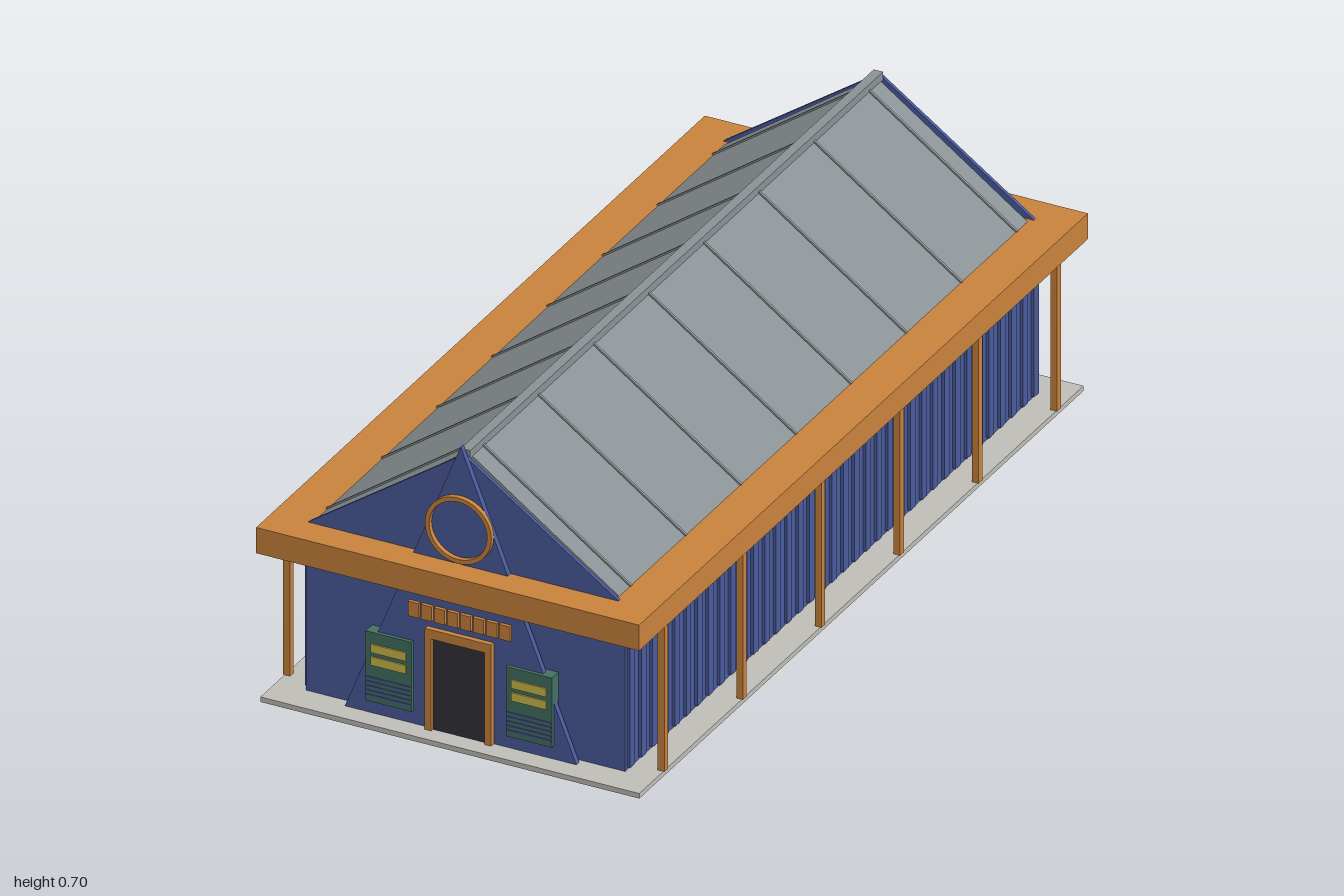
import * as THREE from 'three';

const mat = (name, color) => {
  const m = new THREE.MeshStandardMaterial({ color });
  m.name = name;
  return m;
};

export function createModel() {
  const blue = mat('blue paint', 0x4a5a9c);
  const wood = mat('orange timber', 0xc8823c);
  const metal = mat('grey roofing', 0x8a9195);
  const stone = mat('pale concrete', 0xbfbdb7);
  const dark = mat('dark door', 0x333338);
  const green = mat('green board', 0x437062);
  const yellow = mat('yellow strip', 0xcdbb4a);

  const group = new THREE.Group();
  const add = (name, geometry, material) => {
    const mesh = new THREE.Mesh(geometry, material);
    mesh.name = name;
    group.add(mesh);
    return mesh;
  };
  // box given by its minimum and maximum on each axis
  const box = (name, material, x0, x1, y0, y1, z0, z1) => {
    const mesh = add(name, new THREE.BoxGeometry(x1 - x0, y1 - y0, z1 - z0), material);
    mesh.position.set((x0 + x1) / 2, (y0 + y1) / 2, (z0 + z1) / 2);
    return mesh;
  };
  // upright triangle extruded along z
  const prism = (name, material, half, y0, y1, z0, z1) => {
    const shape = new THREE.Shape([
      new THREE.Vector2(-half, y0), new THREE.Vector2(half, y0), new THREE.Vector2(0, y1),
    ]);
    const geo = new THREE.ExtrudeGeometry(shape, { depth: z1 - z0, bevelEnabled: false });
    add(name, geo.translate(0, 0, z0), material);
  };

  // base, hall and flat canopy
  box('baseSlab', stone, -0.445, 0.445, 0, 0.012, -0.99, 0.99);
  box('hallWalls', blue, -0.375, 0.375, 0.012, 0.36, -0.92, 0.92);
  box('canopy', wood, -0.45, 0.45, 0.357, 0.418, -1, 1);

  // ribbed cladding and posts along both sides
  for (const s of [-1, 1]) {
    for (let i = 0; i < 37; i++) {
      const rib = add('wallRib', new THREE.BoxGeometry(0.012, 0.34, 0.022), blue);
      rib.position.set(s * 0.376, 0.188, -0.9 + i * 0.05);
    }
    for (let i = 0; i < 6; i++) {
      const post = add('post', new THREE.BoxGeometry(0.016, 0.346, 0.016), wood);
      post.position.set(s * 0.44, 0.185, -0.875 + i * 0.35);
    }
  }

  // pitched roof, standing seams, ridge cap and gables
  prism('roof', metal, 0.357, 0.417, 0.67, -0.91, 0.91);
  const slope = Math.atan2(0.253, 0.357);
  const length = Math.hypot(0.253, 0.357);
  for (const s of [-1, 1]) {
    for (let i = 0; i < 8; i++) {
      const seam = add('roofSeam', new THREE.BoxGeometry(length, 0.006, 0.006), metal);
      seam.position.set(s * 0.1785, 0.5445, -0.86 + i * 0.2457);
      seam.rotation.z = -s * slope;
    }
  }
  box('ridgeCap', metal, -0.011, 0.011, 0.66, 0.68, -0.92, 0.92);
  prism('frontGable', blue, 0.367, 0.417, 0.672, 0.921, 0.929);
  prism('backGable', blue, 0.367, 0.417, 0.672, -0.929, -0.921);

  // tall pointed panel on the front
  prism('entrancePanel', blue, 0.272, 0.012, 0.697, 0.929, 0.942);

  // ring in the gable
  const ring = new THREE.Shape().absarc(0, 0, 0.078, 0, Math.PI * 2);
  ring.holes.push(new THREE.Path().absarc(0, 0, 0.068, 0, Math.PI * 2, true));
  const ringGeo = new THREE.ExtrudeGeometry(ring, { depth: 0.011, bevelEnabled: false, curveSegments: 32 });
  add('gableRing', ringGeo, wood).position.set(0, 0.503, 0.942);

  // door with its frame
  box('door', dark, -0.063, 0.063, 0.012, 0.23, 0.94, 0.946);
  for (const s of [-1, 1]) {
    const jamb = add('doorJamb', new THREE.BoxGeometry(0.015, 0.24, 0.013), wood);
    jamb.position.set(s * 0.0705, 0.132, 0.9475);
  }
  box('doorLintel', wood, -0.078, 0.078, 0.23, 0.252, 0.941, 0.954);

  // row of blocks above the door
  for (let i = 0; i < 8; i++) {
    const x = (i - 3.5) * 0.0307;
    box('frontBlock', wood, x - 0.0125, x + 0.0125, 0.269, 0.304, 0.941, 0.95);
  }

  // notice boards beside the door
  for (const x of [-0.165, 0.165]) {
    box('noticeBoard', green, x - 0.054, x + 0.054, 0.043, 0.208, 0.921, 0.95);
    for (const y of [0.141, 0.171]) {
      box('boardStrip', yellow, x - 0.041, x + 0.041, y - 0.01, y + 0.01, 0.949, 0.953);
    }
    for (let i = 0; i < 5; i++) {
      const y = 0.058 + i * 0.0105;
      box('boardSlat', blue, x - 0.052, x + 0.052, y - 0.002, y + 0.002, 0.949, 0.952);
    }
  }

  return group;
}
